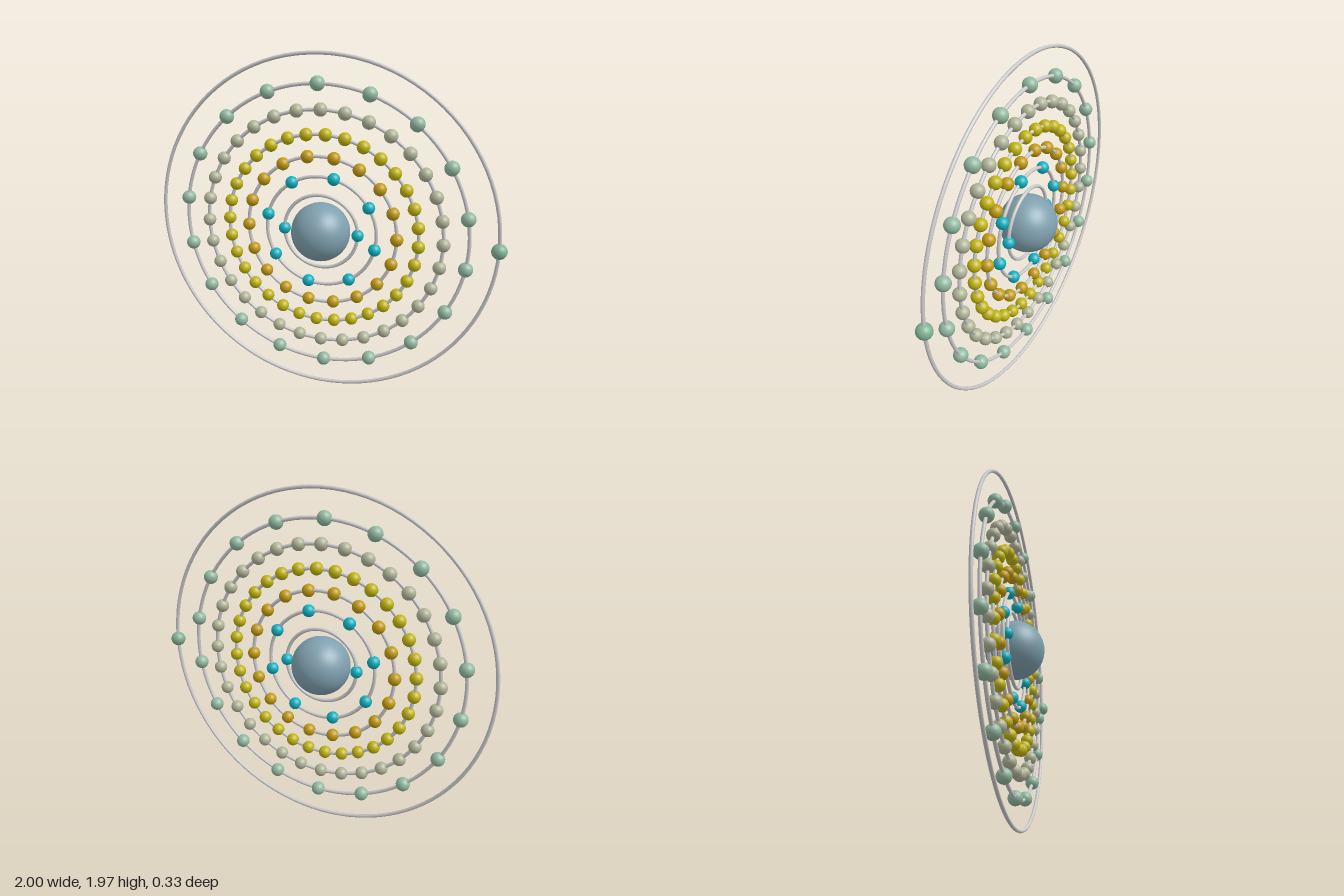
import * as THREE from 'three';

// One entry per shell: orbit radius, ball count, start angle (degrees), ball radius, colour
const SHELLS = [
  { radius: 0.214, count: 2, start: 0, ball: 0.034, color: 0x0fb0c0 },
  { radius: 0.32, count: 8, start: 31.5, ball: 0.035, color: 0x0fb0c0 },
  { radius: 0.433, count: 18, start: 0, ball: 0.036, color: 0xc09a10 },
  { radius: 0.553, count: 32, start: -2.8, ball: 0.036, color: 0xbfb310 },
  { radius: 0.685, count: 32, start: 0, ball: 0.037, color: 0xb0b498 },
  { radius: 0.82, count: 18, start: -8.8, ball: 0.04, color: 0x92b8a0 },
  { radius: 0.974, count: 1, start: 0, ball: 0.042, color: 0x82b294 },
];
const WIRE = 0.01;

export function createModel() {
  const model = new THREE.Group();
  model.name = 'atomModel';
  const wireMaterial = new THREE.MeshStandardMaterial({ color: 0xcccccc });

  // Central nucleus
  const nucleus = new THREE.Mesh(
    new THREE.SphereGeometry(0.166, 48, 32),
    new THREE.MeshStandardMaterial({ color: 0x7fa0ae })
  );
  nucleus.name = 'nucleus';
  model.add(nucleus);

  // Concentric orbits with evenly spaced electrons
  SHELLS.forEach(({ radius, count, start, ball, color }, i) => {
    const shell = new THREE.Group();
    shell.name = `shell${i + 1}`;

    const orbit = new THREE.Mesh(new THREE.TorusGeometry(radius, WIRE, 10, 96), wireMaterial);
    orbit.name = 'orbitRing';
    shell.add(orbit);

    const geometry = new THREE.SphereGeometry(ball, 24, 16);
    const material = new THREE.MeshStandardMaterial({ color });
    for (let k = 0; k < count; k++) {
      const angle = THREE.MathUtils.degToRad(start) + (k / count) * Math.PI * 2;
      const electron = new THREE.Mesh(geometry, material);
      electron.name = 'electron';
      electron.position.set(radius * Math.cos(angle), radius * Math.sin(angle), 0);
      shell.add(electron);
    }
    model.add(shell);
  });

  // Outer orbit rests on the ground; the lone outer electron shifts the centre in x
  model.position.set(-0.016, 0.984, 0);
  const root = new THREE.Group();
  root.name = 'model';
  root.add(model);
  return root;
}
